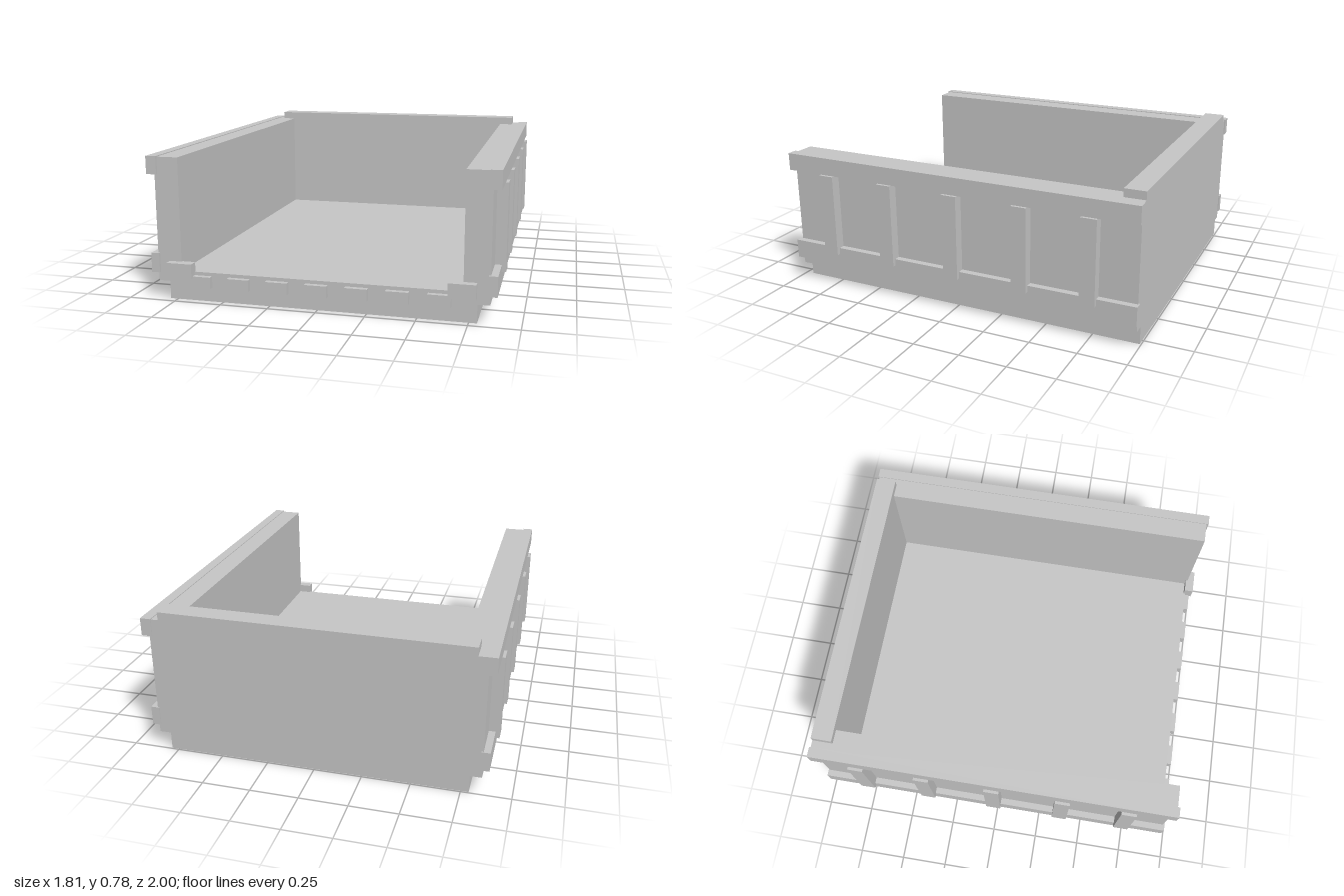
import * as THREE from 'three';

export function createModel() {
  const model = new THREE.Group();
  model.name = 'openTray';
  const grey = new THREE.MeshStandardMaterial({ color: 0xc7c7c7 });
  grey.name = 'lightGrey';

  // Box given by its minimum and maximum on each axis
  function addBox(name, [x0, x1], [y0, y1], [z0, z1]) {
    const mesh = new THREE.Mesh(new THREE.BoxGeometry(Math.abs(x1 - x0), y1 - y0, z1 - z0), grey);
    mesh.position.set((x0 + x1) / 2, (y0 + y1) / 2, (z0 + z1) / 2);
    mesh.name = name;
    model.add(mesh);
  }

  // Floor and both side walls: one stepped U section run front to back
  const half = [[0.79, 0], [0.79, 0.093], [0.85, 0.093], [0.85, 0.739], [0.722, 0.739], [0.722, 0.152]];
  const outline = [...half, ...half.map(([x, y]) => [-x, y]).reverse()];
  const section = new THREE.Shape(outline.map(([x, y]) => new THREE.Vector2(x, y)));
  const shell = new THREE.Mesh(
    new THREE.ExtrudeGeometry(section, { depth: 1.953, bevelEnabled: false }), grey);
  shell.position.z = -0.993;
  shell.name = 'floorAndSideWalls';
  model.add(shell);

  // Back wall, slightly taller than the sides and flush with them behind
  addBox('backWall', [-0.797, 0.797], [0.152, 0.782], [-0.993, -0.882]);

  // Rails, ribs and front corner blocks, mirrored left and right
  for (const [side, s] of [['left', 1], ['right', -1]]) {
    addBox(side + 'TopRail', [s * 0.835, s * 0.89], [0.65, 0.743], [-1, 0.972]);
    addBox(side + 'LowerRail', [s * 0.84, s * 0.884], [0.138, 0.24], [-1, 0.972]);
    for (const z of [0.725, 0.368, -0.015, -0.397, -0.755]) {
      addBox(side + 'Rib', [s * 0.84, s * 0.905], [0.205, 0.65], [z - 0.041, z + 0.041]);
    }
    addBox(side + 'CornerBlock', [s * 0.652, s * 0.787], [0.124, 0.2], [0.95, 1]);
  }

  // Row of small blocks on the front edge
  for (let i = -3; i <= 3; i++) {
    const x = i * 0.204 - 0.002;
    addBox('frontBlock', [x - 0.057, x + 0.057], [0.074, 0.134], [0.95, 0.987]);
  }
  return model;
}
